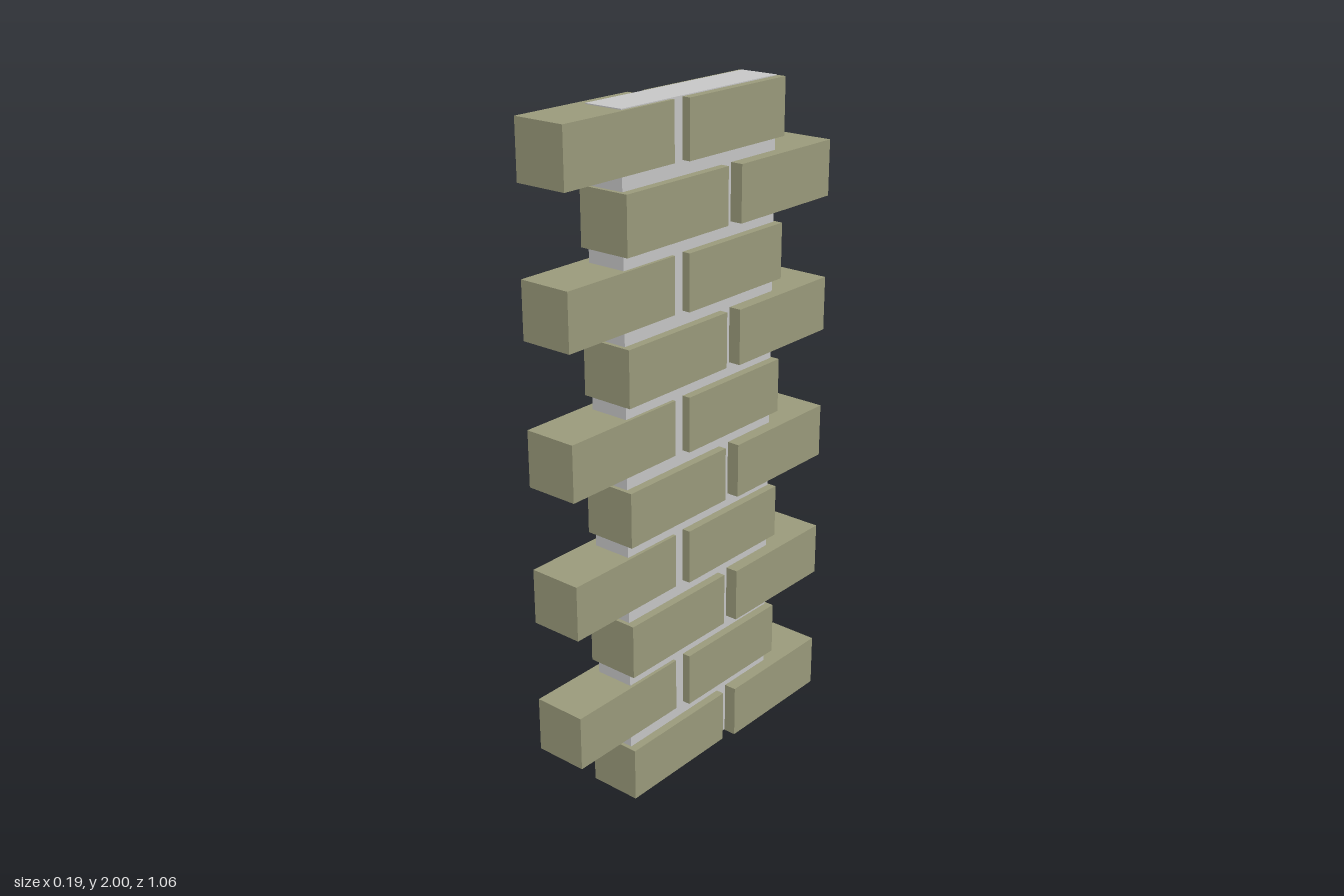
import * as THREE from 'three';

export function createModel() {
  const model = new THREE.Group();
  model.name = 'brickColumn';

  const brickMat = new THREE.MeshStandardMaterial({ color: 0x9b9b7c });
  brickMat.name = 'olive brick';
  const mortarMat = new THREE.MeshStandardMaterial({ color: 0xc8c8c8 });
  mortarMat.name = 'grey mortar';

  // Mortar core running the full height behind the bricks
  const mortar = new THREE.Mesh(new THREE.BoxGeometry(0.12, 1.997, 0.63), mortarMat);
  mortar.name = 'mortarCore';
  mortar.position.set(-0.005, 1.0015, -0.002);
  model.add(mortar);

  // Ten courses of two bricks, staggered alternately to the back and front
  const courses = 10, height = 0.163, pitch = 0.2038;
  const brickGeo = new THREE.BoxGeometry(0.16, height, 0.406);
  const layouts = [
    [{ x: 0, z: 0.122 }, { x: 0.013, z: -0.325 }],
    [{ x: -0.015, z: 0.326 }, { x: 0, z: -0.122 }],
  ];
  for (let i = 0; i < courses; i++) {
    const course = new THREE.Group();
    course.name = `brickCourse${i + 1}`;
    course.position.y = height / 2 + i * pitch;
    layouts[i % 2].forEach(({ x, z }, j) => {
      const brick = new THREE.Mesh(brickGeo, brickMat);
      brick.name = j === 0 ? 'frontBrick' : 'backBrick';
      brick.position.set(x, 0, z);
      course.add(brick);
    });
    model.add(course);
  }
  return model;
}
